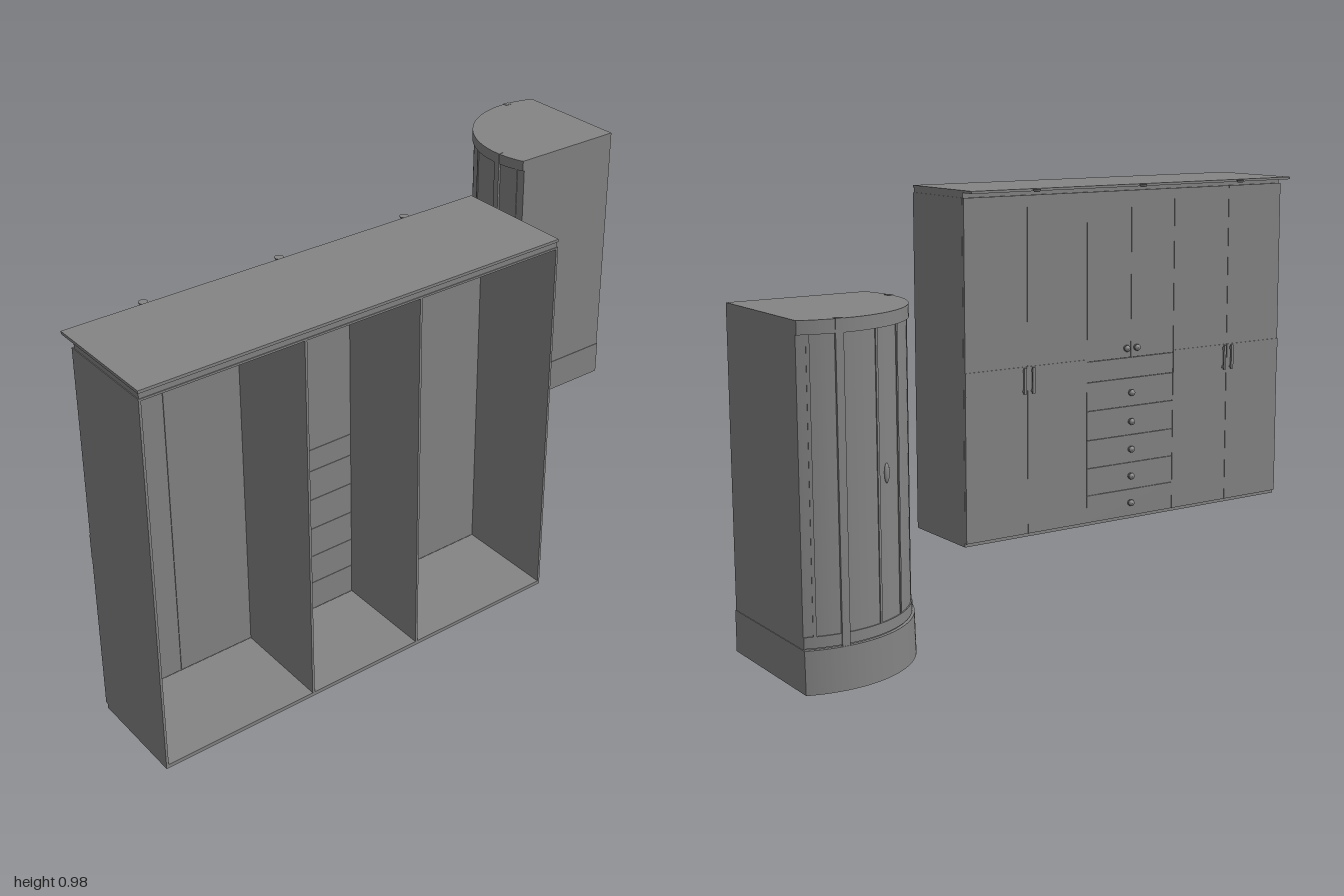
import * as THREE from 'three';
import { toCreasedNormals } from 'three/addons/utils/BufferGeometryUtils.js';

const grey = new THREE.MeshStandardMaterial({ color: 0x848484 });

function add(group, name, geometry) {
  const mesh = new THREE.Mesh(geometry, grey);
  mesh.name = name;
  group.add(mesh);
  return mesh;
}

// Box given by its limits on each axis
function box(group, name, x0, x1, y0, y1, z0, z1) {
  const mesh = add(group, name, new THREE.BoxGeometry(x1 - x0, y1 - y0, z1 - z0));
  mesh.position.set((x0 + x1) / 2, (y0 + y1) / 2, (z0 + z1) / 2);
  return mesh;
}

function createWardrobe() {
  const g = new THREE.Group();
  g.name = 'wardrobe';
  const back = 0.537, front = 0.278, door = 0.27, z0 = -0.12, z1 = 1, t = 0.006;

  // Carcass, open at the back
  box(g, 'sidePanel', front, back, 0, 0.96, z0, z0 + t);
  box(g, 'sidePanel', front, back, 0, 0.96, z1 - t, z1);
  for (const z of [0.285, 0.595]) box(g, 'divider', front, back, 0, 0.96, z - t / 2, z + t / 2);
  box(g, 'floorPanel', front, back, 0, 0.01, z0, z1);
  box(g, 'ceilingPanel', front, back, 0.955, 0.96, z0, z1);
  box(g, 'frieze', front, back - 0.002, 0.96, 0.973, z0 + 0.002, z1 - 0.002);
  box(g, 'cornice', 0.228, back, 0.973, 0.98, z0, z1);

  // Doors and drawer fronts with hairline gaps between them
  const gap = 0.0006;
  const panel = (name, ya, yb, za, zb) =>
    box(g, name, door, front, ya + gap, yb - gap, za + gap, zb - gap);
  for (const [a, b] of [[z0, 0.083], [0.083, 0.285], [0.595, 0.798], [0.798, z1]]) {
    panel('tallDoor', 0.01, 0.96, a, b);
    box(g, 'doorBand', door - 0.002, door, 0.42, 0.487, a + gap, b - gap);
  }
  panel('upperDoor', 0.48, 0.96, 0.285, 0.44);
  panel('upperDoor', 0.48, 0.96, 0.44, 0.595);
  panel('middleRail', 0.42, 0.48, 0.285, 0.595);
  const drawers = [0.01, 0.09, 0.17, 0.252, 0.337, 0.42];
  for (let i = 0; i < 5; i++) panel('drawerFront', drawers[i], drawers[i + 1], 0.285, 0.595);

  // Knobs on the drawers and the middle doors
  const knobShape = new THREE.LatheGeometry([
    [0, 0], [0.009, 0], [0.008, 0.003], [0.005, 0.005], [0.01, 0.007], [0.009, 0.011], [0, 0.014],
  ].map(([x, y]) => new THREE.Vector2(x, y)), 16);
  knobShape.rotateZ(Math.PI / 2);
  const knob = (y, z) => add(g, 'knob', knobShape).position.set(door, y, z);
  for (const y of [0.05, 0.13, 0.21, 0.292, 0.377]) knob(y, 0.44);
  for (const s of [-1, 1]) knob(0.508, 0.44 + s * 0.018);

  // Paired bar handles on the tall doors
  for (const z of [0.083, 0.798]) {
    for (const s of [-1, 1]) {
      const hz = z + s * 0.014;
      box(g, 'barHandle', 0.258, 0.263, 0.412, 0.485, hz - 0.004, hz + 0.004);
      for (const y of [0.42, 0.475]) {
        box(g, 'handlePost', 0.262, door, y - 0.004, y + 0.004, hz - 0.003, hz + 0.003);
      }
    }
  }

  // Small spotlights under the cornice edge
  for (const z of [0.08, 0.44, 0.795]) {
    const lamp = add(g, 'spotlight', new THREE.CylinderGeometry(0.011, 0.008, 0.007, 20));
    lamp.position.set(0.217, 0.975, z);
    box(g, 'spotlightArm', 0.217, 0.24, 0.973, 0.977, z - 0.003, z + 0.003);
  }
  return g;
}

function createShowerCabin() {
  const g = new THREE.Group();
  g.name = 'showerCabin';
  const cx = -0.268, cz = -0.9, wallX = -0.168, wallZ = -1;
  const deg = Math.PI / 180;

  // Upright extrusion of a floor plan drawn in (x, -z)
  const upright = (shape, y0, y1) => {
    const geo = new THREE.ExtrudeGeometry(shape, { depth: y1 - y0, bevelEnabled: false, curveSegments: 48 });
    geo.rotateX(-Math.PI / 2);
    geo.translate(0, y0, 0);
    return toCreasedNormals(geo, 0.5);
  };
  // Corner plan: two straight walls, set in by a little, closed by an arc
  const plan = (r, inset) => {
    const wall = 0.1 - inset;
    const over = Math.asin(wall / r);
    const s = new THREE.Shape();
    s.moveTo(cx + wall, -cz + wall);
    s.absarc(cx, -cz, r, Math.PI - over, Math.PI * 1.5 + over, false);
    s.lineTo(cx + wall, -cz + wall);
    return s;
  };
  // Curved strip between two angles, 0 at the left edge and 90 at the front
  const strip = (name, r0, r1, a0, a1, y0, y1) => {
    const s = new THREE.Shape();
    s.absarc(cx, -cz, r1, Math.PI + a0 * deg, Math.PI + a1 * deg, false);
    s.absarc(cx, -cz, r0, Math.PI + a1 * deg, Math.PI + a0 * deg, true);
    add(g, name, upright(s, y0, y1));
  };

  // Tray, flaring slightly to the floor on its curved side
  const tray = upright(plan(0.266, 0), 0, 0.097);
  const p = tray.attributes.position;
  for (let i = 0; i < p.count; i++) {
    const k = p.getY(i) < 0.01 ? 1.011 : 1;
    p.setX(i, Math.min(wallX, cx + (p.getX(i) - cx) * k));
    p.setZ(i, Math.max(wallZ, cz + (p.getZ(i) - cz) * k));
  }
  add(g, 'tray', tray);

  // Glazed body, roof and rails
  add(g, 'glazing', upright(plan(0.258, 0.0015), 0.095, 0.77));
  add(g, 'roof', upright(plan(0.263, 0.0015), 0.765, 0.795));
  add(g, 'bottomRail', upright(plan(0.261, 0.0015), 0.1, 0.125));

  // Upright posts and narrow door frames
  for (const a of [-2.2, 92.2]) strip('post', 0.25, 0.2645, a - 2, a + 2, 0.097, 0.796);
  for (const a of [-17, 107]) strip('wallProfile', 0.25, 0.2605, a - 0.8, a + 0.8, 0.12, 0.77);
  for (const a of [19, 36, 68]) strip('doorFrame', 0.25, 0.2605, a - 0.7, a + 0.7, 0.12, 0.77);

  // Oval door handles
  for (const a of [25, 77]) {
    const handle = add(g, 'doorHandle', new THREE.SphereGeometry(1, 20, 12));
    handle.scale.set(0.008, 0.022, 0.005);
    handle.position.set(cx - 0.259 * Math.cos(a * deg), 0.45, cz + 0.259 * Math.sin(a * deg));
    handle.rotation.y = (a - 90) * deg;
  }
  return g;
}

export function createModel() {
  const model = new THREE.Group();
  model.name = 'bathroomFurniture';
  model.add(createWardrobe(), createShowerCabin());
  return model;
}
